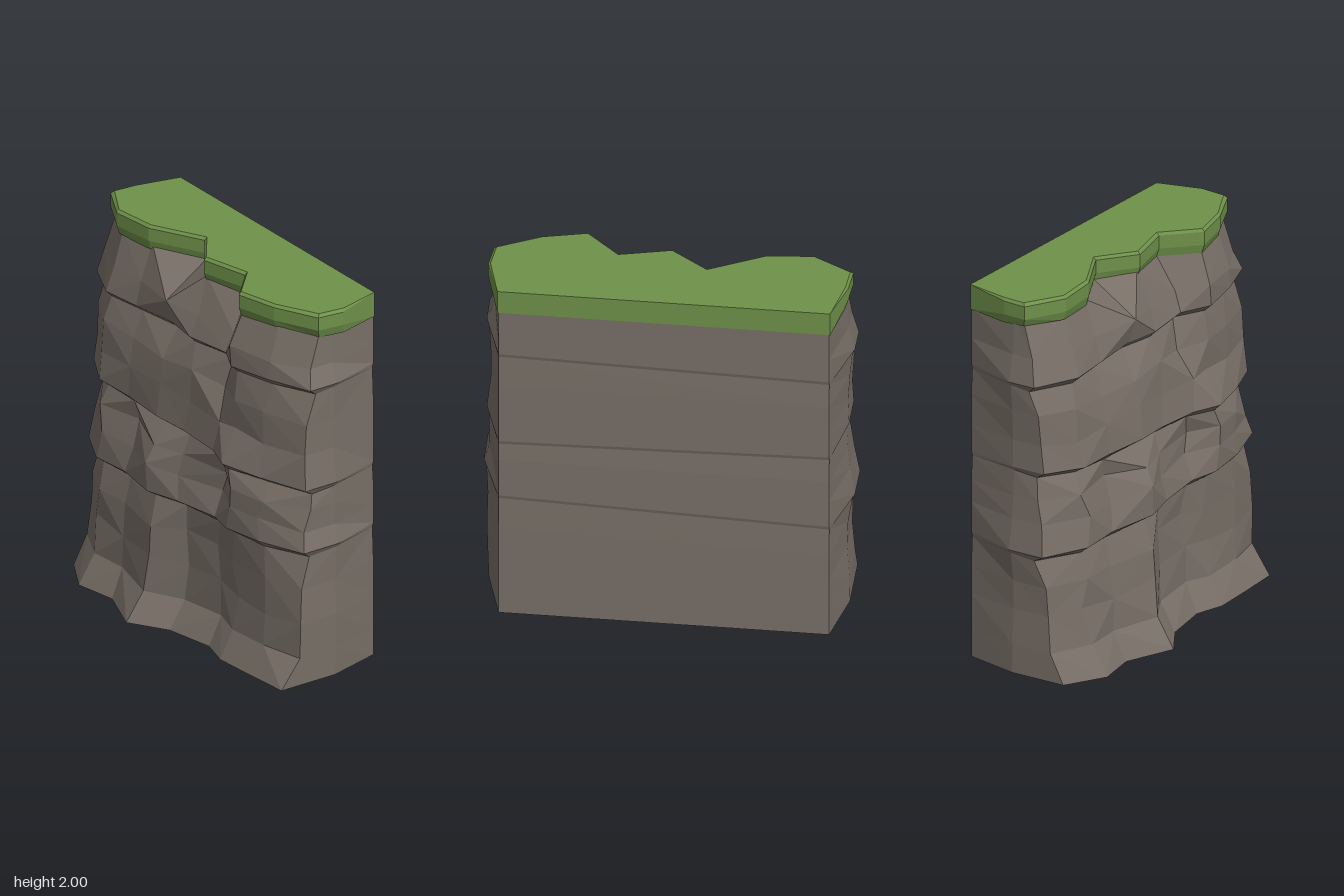
import * as THREE from 'three';

// repeatable jitter in -1..1
const noise = (i, j) => {
  const s = Math.sin(i * 127.1 + j * 311.7) * 43758.5453;
  return (s - Math.floor(s)) * 2 - 1;
};

// skin a stack of closed loops (counterclockwise seen from above) and cap both ends
function skin(rows) {
  const pos = [];
  const tri = (...pts) => pts.forEach((p) => pos.push(...p));
  const n = rows[0].length;
  for (let j = 0; j < rows.length - 1; j++) {
    for (let i = 0; i < n; i++) {
      const k = (i + 1) % n;
      const a = rows[j][i], b = rows[j][k], c = rows[j + 1][k], d = rows[j + 1][i];
      // split along the diagonal whose ends stand further out
      if (a[2] + c[2] > b[2] + d[2]) { tri(a, b, c); tri(a, c, d); }
      else { tri(a, b, d); tri(b, c, d); }
    }
  }
  const cap = (row, up) => {
    const flat = row.map((p) => new THREE.Vector2(p[0], -p[2]));
    for (const [a, b, c] of THREE.ShapeUtils.triangulateShape(flat, [])) {
      if (up) tri(row[a], row[b], row[c]); else tri(row[a], row[c], row[b]);
    }
  };
  cap(rows[0], false);
  cap(rows[rows.length - 1], true);
  const g = new THREE.BufferGeometry();
  g.setAttribute('position', new THREE.Float32BufferAttribute(pos, 3));
  g.computeVertexNormals();
  return g;
}

const COLUMNS = [-0.7, -0.47, -0.2, 0, 0.27, 0.43, 0.67];

// one rock course: height, tilt, half widths left and right, front depth per column
function course(y, tilt, left, right, z, index, wobble) {
  const at = (x, yy, zz) => [x, yy + tilt * x, zz];
  const last = z.length - 1;
  return [
    at(-0.84, y, -0.394),
    at(-left + 0.003, y, -0.1),
    at(-left, y, z[0]),
    ...COLUMNS.map((x, i) => at(x + 0.04 * wobble * noise(i, index), y + 0.02 * wobble * noise(i + 9, index), z[i + 1])),
    at(right, y, z[last]),
    at(right - 0.003, y, -0.1),
    at(0.825, y, -0.394),
  ];
}

function cliffRows() {
  const rows = [];
  const add = (y, l, r, z, tilt = 0, wobble = 1) => rows.push(course(y, tilt, l, r, z, rows.length, wobble));
  // overhanging ledge: a recessed lower edge below a jutting lip, thinning out towards the back
  const ledge = (y, tilt, l, r, z) => {
    const lip = course(y, tilt, l, r, z, 0, 0.15);
    const recess = lip.map(([px, py, pz], i) => {
      if (pz < -0.3) return [px, py - 0.02, pz + 0.006];
      if (pz < -0.05) return [px - 0.012 * Math.sign(px), py - 0.02, pz];
      const side = Math.abs(px) > 0.85 ? Math.sign(px) : 0;
      return [px - 0.02 * side, py - 0.035, pz - 0.05 - 0.015 * noise(i, y)];
    });
    rows.push(recess, lip);
  };
  add(0, 0.915, 0.91, [0.21, 0.33, 0.29, 0.395, 0.27, 0.22, 0.265, 0.25, 0.23], 0, 0);
  add(0.15, 0.912, 0.915, [0.13, 0.24, 0.22, 0.295, 0.18, 0.15, 0.19, 0.18, 0.12], 0, 0.3);
  add(0.34, 0.9, 0.92, [0.11, 0.2, 0.22, 0.27, 0.165, 0.15, 0.17, 0.17, 0.12]);
  add(0.51, 0.905, 0.915, [0.1, 0.21, 0.2, 0.26, 0.165, 0.14, 0.17, 0.17, 0.11], 0.02);
  ledge(0.7, 0.035, 0.94, 0.935, [0.1, 0.22, 0.21, 0.27, 0.22, 0.19, 0.23, 0.2, 0.11]);
  add(0.83, 0.915, 0.905, [0.08, 0.21, 0.18, 0.275, 0.2, 0.14, 0.23, 0.19, 0.09]);
  add(0.95, 0.905, 0.91, [0.05, 0.185, 0.14, 0.23, 0.18, 0.13, 0.23, 0.18, 0.05]);
  ledge(1.085, -0.022, 0.91, 0.92, [0.09, 0.2, 0.19, 0.21, 0.19, 0.2, 0.255, 0.19, 0.09]);
  add(1.25, 0.905, 0.9, [0.07, 0.17, 0.18, 0.19, 0.17, 0.18, 0.17, 0.15, 0.08]);
  add(1.41, 0.915, 0.9, [0.06, 0.16, 0.15, 0.17, 0.16, 0.11, 0.18, 0.15, 0.07]);
  ledge(1.59, 0.022, 0.94, 0.92, [0.05, 0.16, 0.14, 0.12, 0.15, 0.12, 0.2, 0.15, 0.06]);
  add(1.71, 0.91, 0.88, [0.02, 0.12, 0.11, 0.16, 0.11, 0.08, 0.2, 0.14, 0.03], 0, 0.6);
  add(1.89, 0.895, 0.872, [-0.04, 0.06, 0.04, -0.11, 0.04, -0.03, 0.13, 0.08, -0.03], 0, 0.3);
  return rows;
}

// turf slab outline, front and sides pulled inward by "inset", with a ragged lower edge
function turfRow(y, inset, ragged = 0) {
  const outline = [[-0.845, -0.397], [-0.91, -0.15], [-0.92, -0.02], [-0.71, 0.09], [-0.47, 0.065], [-0.19, -0.08],
    [0, 0.06], [0.265, -0.005], [0.435, 0.155], [0.66, 0.1], [0.89, -0.01], [0.905, -0.15], [0.83, -0.397]];
  return outline.map(([x, z], i) => {
    if (z < -0.3) return [x, y, z];
    const side = Math.abs(x) > 0.8 ? Math.sign(x) : 0;
    return [x - inset * side, y + ragged * noise(i, 3), z - inset];
  });
}

export function createModel() {
  const rock = new THREE.MeshStandardMaterial({ color: 0x786f67 });
  rock.name = 'rock';
  const grass = new THREE.MeshStandardMaterial({ color: 0x6f914a });
  grass.name = 'grass';
  rock.flatShading = grass.flatShading = true;

  const group = new THREE.Group();
  group.name = 'cliffBlock';
  const cliff = new THREE.Mesh(skin(cliffRows()), rock);
  cliff.name = 'rockFace';
  const turf = new THREE.Mesh(
    skin([turfRow(1.868, 0.016, 0.01), turfRow(1.915, 0), turfRow(1.985, 0), turfRow(2, 0.014)]), grass);
  turf.name = 'grassTop';
  group.add(cliff, turf);
  return group;
}
